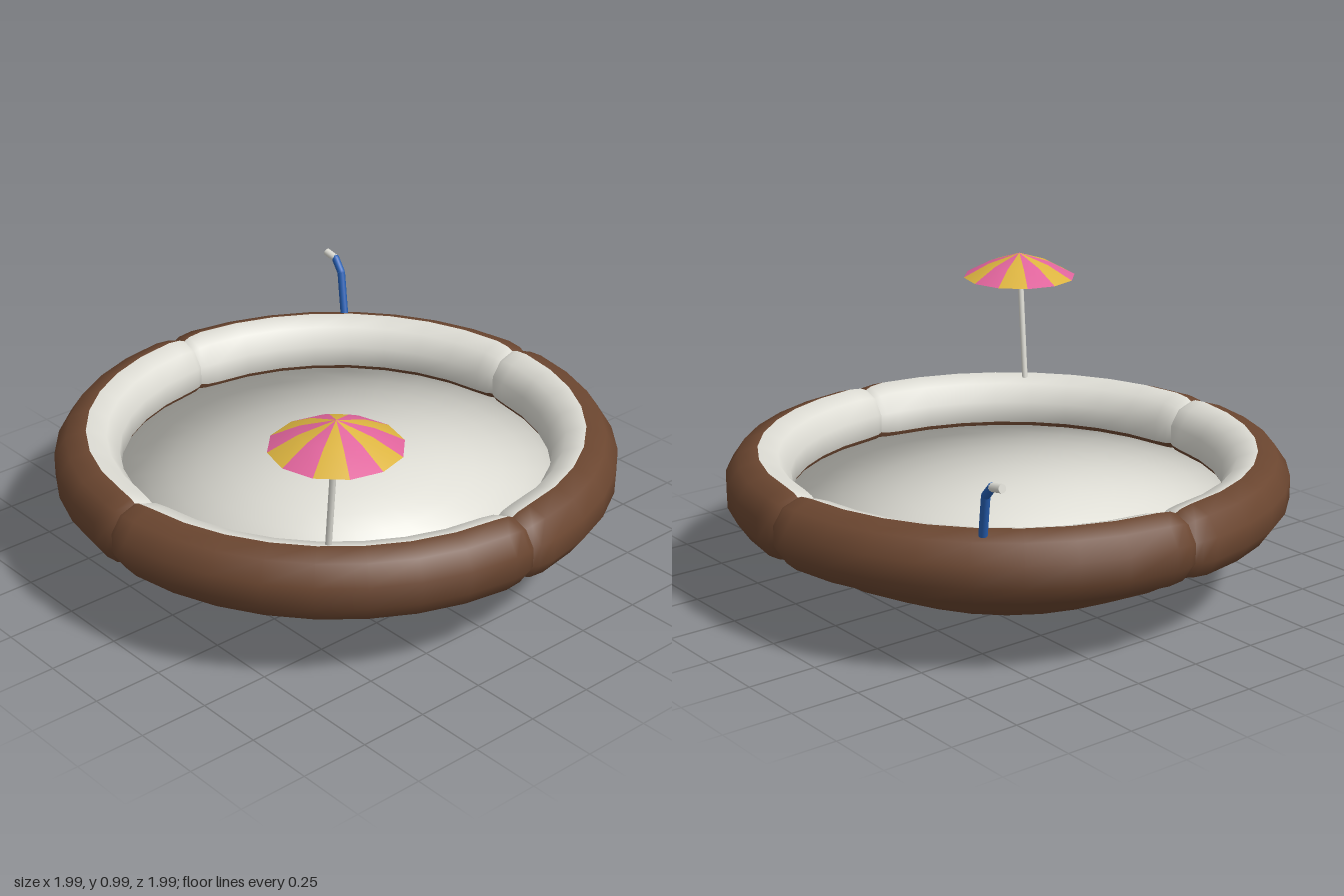
import * as THREE from 'three';

const mat = (name, color, side = THREE.FrontSide) => {
  const m = new THREE.MeshStandardMaterial({ color, side });
  m.name = name;
  return m;
};

export function createModel() {
  const brown = mat('shell brown', 0x6b4630);
  const white = mat('flesh white', 0xdeddd5);
  const pink = mat('canopy pink', 0xe0649c, THREE.DoubleSide);
  const yellow = mat('canopy yellow', 0xdcb440, THREE.DoubleSide);
  const blue = mat('straw blue', 0x2760b4);

  const model = new THREE.Group();
  const add = (name, geometry, material, parent = model) => {
    const mesh = new THREE.Mesh(geometry, material);
    mesh.name = name;
    parent.add(mesh);
    return mesh;
  };
  const v = (x, y, z) => new THREE.Vector3(x, y, z);

  // Straight rod between two points
  const rod = (name, a, b, radius, material, parent) => {
    const dir = b.clone().sub(a);
    const mesh = add(name, new THREE.CylinderGeometry(radius, radius, dir.length(), 10), material, parent);
    mesh.position.copy(a).add(b).multiplyScalar(0.5);
    mesh.quaternion.setFromUnitVectors(v(0, 1, 0), dir.normalize());
    return mesh;
  };

  // Inflated quarter of the rim: ten-sided tube pinched at both ends
  const SIDES = 10;
  const steps = [[0, 0.87], [1.5, 0.95], [5, 1]];
  for (let i = 1; i < 8; i++) steps.push([5 + i * 10, 1]);
  steps.push([85, 1], [88.5, 0.95], [90, 0.87]);
  const positions = [];
  for (const [deg, pinch] of steps) {
    const t = THREE.MathUtils.degToRad(deg);
    for (let i = 0; i < SIDES; i++) {
      const p = THREE.MathUtils.degToRad(18 + 36 * i);
      const r = 0.885 + 0.121 * pinch * Math.cos(p);
      positions.push(r * Math.cos(t), 0.383 + 0.128 * pinch * Math.sin(p), r * Math.sin(t));
    }
  }
  const index = [];
  // Strips 2 to 4 are the white upper inner side, the rest is brown
  for (let k = 2; k < SIDES + 2; k++) {
    const i = k % SIDES, n = (k + 1) % SIDES;
    for (let j = 0; j < steps.length - 1; j++) {
      const a = j * SIDES, b = a + SIDES;
      index.push(a + i, a + n, b + i, a + n, b + n, b + i);
    }
  }
  const quarter = new THREE.BufferGeometry();
  quarter.setAttribute('position', new THREE.Float32BufferAttribute(positions, 3));
  quarter.setIndex(index);
  quarter.computeVertexNormals();
  const strip = (steps.length - 1) * 6;
  quarter.addGroup(0, strip * 3, 0);
  quarter.addGroup(strip * 3, strip * 7, 1);
  const rim = new THREE.Group();
  rim.name = 'inflatedRim';
  model.add(rim);
  for (let q = 0; q < 4; q++) {
    add('rimQuarter', quarter, [white, brown], rim).rotation.y = q * Math.PI / 2;
  }

  // Shallow brown hull below the rim
  const hull = [[0, 0], [0.27, 0.016], [0.54, 0.07], [0.76, 0.175], [0.86, 0.31]];
  add('hull', new THREE.LatheGeometry(hull.map(([x, y]) => new THREE.Vector2(x, y)), 28), brown);

  // Floor: a half sphere pressed nearly flat, keeping its rounded normals
  const floor = new THREE.SphereGeometry(0.84, 32, 10, 0, Math.PI * 2, 0, Math.PI / 2);
  const fp = floor.attributes.position;
  for (let i = 0; i < fp.count; i++) fp.setY(i, 0.322 + fp.getY(i) * 0.015);
  add('poolFloor', floor, white);

  // Parasol: twelve alternating wedges on a leaning pole
  const parasol = new THREE.Group();
  parasol.name = 'parasol';
  model.add(parasol);
  rod('parasolPole', v(0.618, 0.4, 0.577), v(0.695, 0.965, 0.604), 0.011, white, parasol);
  const profile = [[0.218, 0.893], [0.12, 0.945], [0, 0.985]].map(([x, y]) => new THREE.Vector2(x, y));
  for (let i = 0; i < 12; i++) {
    const wedge = new THREE.LatheGeometry(profile, 1, i * Math.PI / 6, Math.PI / 6);
    add('canopyWedge', wedge, i % 2 ? yellow : pink, parasol).position.set(0.693, 0, 0.602);
  }

  // Bent drinking straw with a pale mouthpiece
  const straw = new THREE.Group();
  straw.name = 'straw';
  model.add(straw);
  const bends = [v(-0.65, 0.43, -0.615), v(-0.717, 0.65, -0.65), v(-0.762, 0.692, -0.66), v(-0.815, 0.702, -0.661)];
  for (let i = 0; i < 3; i++) {
    rod(i < 2 ? 'strawTube' : 'strawTip', bends[i], bends[i + 1], 0.015, i < 2 ? blue : white, straw);
    if (i > 0) add('strawJoint', new THREE.SphereGeometry(0.015, 10, 8), blue, straw).position.copy(bends[i]);
  }
  return model;
}
